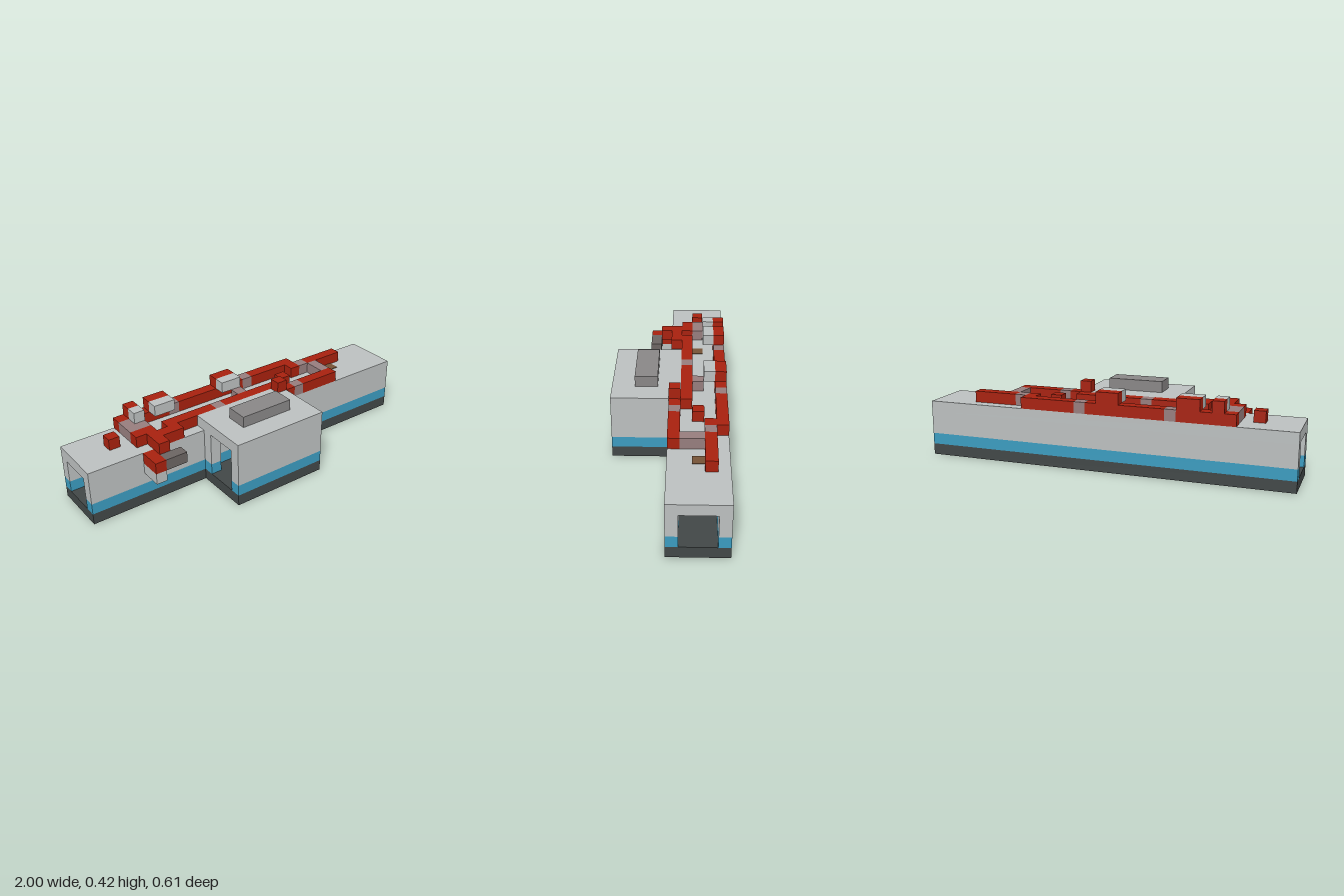
import * as THREE from 'three';

const U = 2 / 33; // one block of the grid

const mat = (name, color) => {
  const m = new THREE.MeshStandardMaterial({ color });
  m.name = name;
  return m;
};

export function createModel() {
  const stone = mat('light stone', 0xbbbfbf);
  const blue = mat('blue band', 0x3b9bbf);
  const dark = mat('dark base', 0x414747);
  const red = mat('red wire', 0xa7210e);
  const pink = mat('dusty repeater', 0x967d7d);
  const grey = mat('grey hatch', 0x888686);
  const machine = mat('machine grey', 0x6b6462);
  const green = mat('leaf green', 0x3b732d);
  const brown = mat('wood brown', 0x755236);

  const model = new THREE.Group();
  const group = (name) => {
    const g = new THREE.Group();
    g.name = name;
    model.add(g);
    return g;
  };
  // Box spanning grid cells [x0,x1) [y0,y1) [z0,z1)
  const box = (parent, name, material, x0, x1, y0, y1, z0, z1) => {
    const geo = new THREE.BoxGeometry((x1 - x0) * U, (y1 - y0) * U, (z1 - z0) * U);
    const mesh = new THREE.Mesh(geo, material);
    mesh.name = name;
    mesh.position.set(((x0 + x1) / 2 - 16.5) * U, ((y0 + y1) / 2) * U, ((z0 + z1) / 2 - 5) * U);
    parent.add(mesh);
  };
  // Wall with a blue band along its foot
  const wall = (parent, name, x0, x1, top, z0, z1) => {
    box(parent, name + 'Band', blue, x0, x1, 1, 2, z0, z1);
    box(parent, name, stone, x0, x1, 2, top, z0, z1);
  };

  // Long hall, open at both ends
  const hall = group('hall');
  box(hall, 'hallFloor', dark, 0, 33, 0, 1, 0, 5);
  wall(hall, 'hallBackWall', 0, 33, 4, 0, 1);
  wall(hall, 'hallFrontWall', 0, 33, 4, 4, 5);
  box(hall, 'hallRoof', stone, 0, 33, 4, 5, 0, 5);

  // Front room with a doorway in its right side
  const room = group('frontRoom');
  box(room, 'roomFloor', dark, 11, 20, 0, 1, 5, 10);
  wall(room, 'roomFrontWall', 11, 20, 5, 9, 10);
  wall(room, 'roomLeftWall', 19, 20, 5, 5, 9);
  wall(room, 'roomDoorPost', 11, 12, 5, 5, 6);
  box(room, 'roomRoof', stone, 11, 20, 5, 6, 4, 10);
  box(room, 'roofHatch', grey, 13, 18, 6, 7, 6, 8);

  // Ceiling lamps every six blocks, with wooden caps or red torches above
  const lamps = group('lamps');
  for (let x = 3; x < 33; x += 6) {
    box(lamps, 'lamp', stone, x, x + 1, 3, 4, 2, 3);
    if (x === 3 || x === 21) box(lamps, 'torch', red, x, x + 1, 5, 6, 2, 3);
    else box(lamps, 'lampCap', brown, x, x + 1, 4.9, 5.06, 2, 3);
  }

  // Plant inside the hall
  const plant = group('plant');
  box(plant, 'planter', brown, 16, 17, 1, 2, 3, 4);
  box(plant, 'leaves', green, 16, 17, 2, 3, 3, 4);

  // Wire runs on the roof: [x0, x1, z0, z1]
  const wires = group('roofWires');
  [
    [5, 10, 0, 1], [11, 18, 0, 1], [19, 24, 0, 1],
    [23, 24, 1, 2], [25, 29, 1, 2],
    [5, 7, 3, 4], [8, 13, 3, 4], [14, 20, 3, 4],
    [6, 9, 4, 5], [20, 21, 4, 5], [22, 26, 4, 5],
    [6, 7, 5, 6],
  ].forEach(([a, b, c, d]) => box(wires, 'wire', red, a, b, 5, 6, c, d));
  box(wires, 'raisedWire', red, 19, 20, 6, 7, 4, 5);

  // Repeaters joining the wire runs
  [
    [10, 11, 0, 1], [18, 19, 0, 1], [24, 25, 1, 2], [13, 14, 3, 4], [21, 22, 4, 5],
    [25, 26, 2, 4], [5, 6, 1, 3], [6, 7, 2, 3], [16, 17, 2, 3],
  ].forEach(([a, b, c, d]) => box(wires, 'repeater', pink, a, b, 5, 6, c, d));

  // Raised stone blocks with red wire behind them
  [[6, 7], [8, 10], [15, 17]].forEach(([a, b]) => {
    box(wires, 'raisedStone', stone, a, b, 6, 7, 1, 2);
    box(wires, 'raisedWire', red, a, b, 6, 7, 0, 1);
  });

  // Wire stepping down the front wall to a small machine
  const outlet = group('wallMachine');
  box(outlet, 'steppedWire', red, 5, 6, 4, 5, 5, 7);
  box(outlet, 'wireSupport', stone, 5, 6, 3, 4, 5, 7);
  box(outlet, 'machine', machine, 6, 8, 4, 5, 6, 7);

  return model;
}
